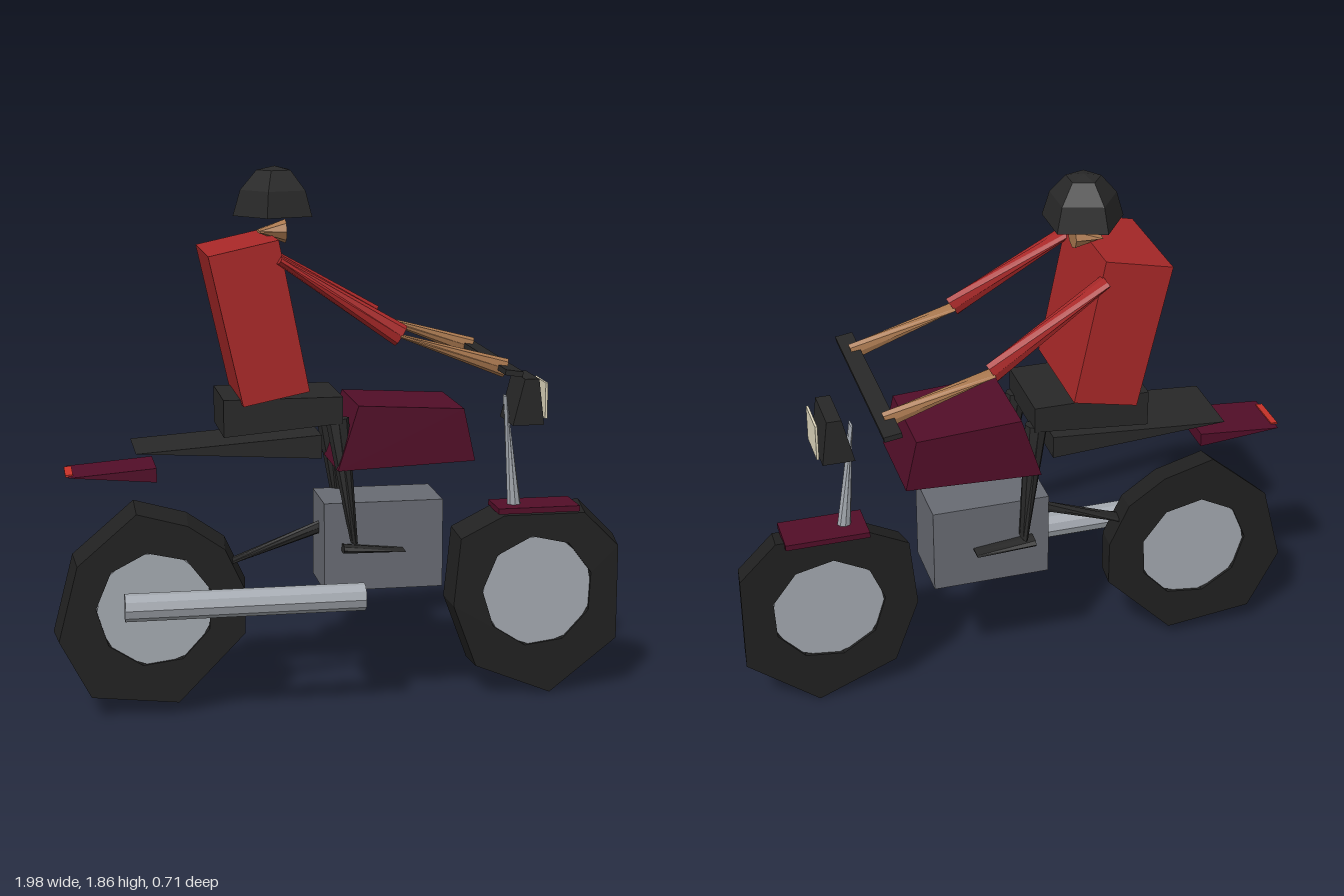
import * as THREE from 'three';

const mat = (name, color, double) => {
  const m = new THREE.MeshStandardMaterial({ color, side: double ? THREE.DoubleSide : THREE.FrontSide, flatShading: true });
  m.name = name;
  return m;
};

export function createModel() {
  const root = new THREE.Group();
  const black = mat('black', 0x282828, true);
  const rubber = mat('rubber', 0x212121);
  const red = mat('shirtRed', 0xa82828);
  const maroon = mat('maroon', 0x520e28);
  const steel = mat('steel', 0xa4a9b0);
  const engineGrey = mat('engineGrey', 0x686b73);
  const skin = mat('skin', 0xa9784f);
  const cream = mat('lensCream', 0xe2dac0);
  const lampRed = mat('tailLampRed', 0xc83228);

  const add = (name, geo, material, x = 0, y = 0, z = 0, parent = root) => {
    const m = new THREE.Mesh(geo, material);
    m.name = name;
    m.position.set(x, y, z);
    parent.add(m);
    return m;
  };
  const box = (name, material, x, y, z, w, h, d) => add(name, new THREE.BoxGeometry(w, h, d), material, x, y, z);

  // side outline pulled across z
  const prism = (name, material, pts, halfZ) => {
    const shape = new THREE.Shape(pts.map(p => new THREE.Vector2(...p)));
    const geo = new THREE.ExtrudeGeometry(shape, { depth: halfZ * 2, bevelEnabled: false });
    return add(name, geo, material, 0, 0, -halfZ);
  };

  // limb from a to b; each end has [half thickness in side view, half width in z]
  const limb = (name, material, a, b, endA, endB) => {
    const geo = new THREE.CylinderGeometry(1, 1, 1, 8, 1);
    const A = new THREE.Vector3(...a), B = new THREE.Vector3(...b);
    const d = B.clone().sub(A).setZ(0).normalize();
    const p = geo.attributes.position, c = new THREE.Vector3();
    for (let i = 0; i < p.count; i++) {
      const top = p.getY(i) > 0, [t, w] = top ? endB : endA;
      c.copy(top ? B : A);
      p.setXYZ(i, c.x + d.y * p.getX(i) * t, c.y - d.x * p.getX(i) * t, c.z + p.getZ(i) * w);
    }
    geo.computeVertexNormals();
    return add(name, geo, material);
  };

  // wheels: rough polygonal tyre around a plain disc
  const wheel = (name, cx, cy, outline) => {
    const g = new THREE.Group();
    g.name = name;
    g.position.set(cx, cy, 0);
    root.add(g);
    const shape = new THREE.Shape(outline.map(([x, y]) => new THREE.Vector2(x - cx, y - cy)));
    shape.holes.push(new THREE.Path().setFromPoints(Array.from({ length: 9 }, (_, i) => {
      const a = -i / 9 * Math.PI * 2 + 0.3;
      return new THREE.Vector2(Math.cos(a) * 0.2, Math.sin(a) * 0.2);
    })));
    const geo = new THREE.ExtrudeGeometry(shape, { depth: 0.11, bevelEnabled: false });
    const p = geo.attributes.position;
    for (let i = 0; i < p.count; i++) {
      // near face is a little smaller and lower than the far face
      if (p.getZ(i) > 0.05 && Math.hypot(p.getX(i), p.getY(i)) > 0.25)
        p.setXY(i, p.getX(i) * 0.96, p.getY(i) * 0.96 - 0.012);
    }
    geo.computeVertexNormals();
    add('tyre', geo, rubber, 0, 0, -0.055, g);
    add('wheelDisc', new THREE.CylinderGeometry(0.205, 0.205, 0.09, 9).rotateX(Math.PI / 2), steel, 0, 0, 0, g);
  };
  wheel('rearWheel', -0.66, 0.38, [[-0.72, 0.74], [-0.93, 0.56], [-1, 0.29], [-0.89, 0.08],
    [-0.58, 0.045], [-0.34, 0.29], [-0.34, 0.45], [-0.41, 0.6], [-0.54, 0.69]]);
  wheel('frontWheel', 0.68, 0.38, [[0.55, 0.68], [0.39, 0.6], [0.365, 0.35], [0.45, 0.12],
    [0.73, 0.005], [0.98, 0.2], [0.98, 0.55], [0.85, 0.68]]);

  // bike body
  box('engine', engineGrey, 0.115, 0.588, 0, 0.41, 0.305, 0.24);
  add('exhaust', new THREE.CylinderGeometry(0.047, 0.047, 0.81, 10).rotateZ(Math.PI / 2), steel, -0.365, 0.425, 0.17);
  prism('fuelTank', maroon, [[-0.05, 0.86], [0.42, 0.88], [0.38, 1.06], [0.02, 1.08]], 0.163);
  prism('seat', black, [[-0.72, 0.937], [-0.1, 0.9], [-0.1, 0.98]], 0.133);
  prism('tail', maroon, [[-0.94, 0.857], [-0.65, 0.832], [-0.65, 0.88]], 0.1);
  prism('tailLamp', lampRed, [[-0.95, 0.855], [-0.925, 0.853], [-0.925, 0.863], [-0.95, 0.86]], 0.07);
  limb('swingArm', black, [-0.42, 0.515, 0], [-0.08, 0.635, 0], [0.004, 0.04], [0.022, 0.012]);
  box('frontMudguard', maroon, 0.675, 0.675, -0.005, 0.29, 0.02, 0.15);
  limb('fork', steel, [0.602, 0.68, 0], [0.563, 1.07, 0], [0.024, 0.02], [0.004, 0.026]);
  box('handlebar', black, 0.5, 1.208, 0, 0.06, 0.018, 0.71).rotation.z = -0.15;

  // headlamp
  prism('headlampShell', black, [[0.57, 0.98], [0.68, 0.98], [0.66, 1.14], [0.61, 1.14]], 0.088);
  box('headlampLens', cream, 0.692, 1.06, -0.002, 0.008, 0.125, 0.145);

  // rider
  prism('torso', red, [[-0.37, 1.095], [-0.15, 1.14], [-0.25, 1.64], [-0.48, 1.59]], 0.197);
  prism('hips', black, [[-0.43, 0.985], [-0.03, 1.02], [-0.03, 1.11], [-0.43, 1.11]], 0.148);
  limb('neck', skin, [-0.29, 1.65, 0], [-0.2, 1.65, 0], [0.005, 0.05], [0.04, 0.045]);
  for (const s of [1, -1]) {
    const side = s > 0 ? 'left' : 'right';
    // the model faces +x, so its near arm and leg sit on +z
    const n = part => part + (s > 0 ? 'Near' : 'Far');
    limb(n('upperArm'), red, [-0.25, 1.575, 0.2 * s], [0.145, 1.325, 0.245 * s], [0.014, 0.04], [0.038, 0.022]);
    limb(n('forearm'), skin, [0.14, 1.325, 0.243 * s], [0.5, 1.207, 0.24 * s], [0.006, 0.034], [0.032, 0.018]);
    limb(n('lowerLeg'), black, [-0.045, 1.03, 0.115 * s], [0.008, 0.61, 0.142 * s], [0.04, 0.03], [0.012, 0.038]);
    limb(n('boot'), black, [-0.03, 0.588, 0.142 * s], [0.18, 0.576, 0.142 * s], [0.016, 0.035], [0.003, 0.035]);
  }

  // helmet: stacked five-sided rings, open below
  const profile = [[0.14, 0], [0.115, 0.085], [0.06, 0.15], [0, 0.163]].map(p => new THREE.Vector2(...p));
  const helmet = add('helmet', new THREE.LatheGeometry(profile, 5), black, -0.235, 1.703, 0);
  helmet.rotation.y = -Math.PI / 2;
  return root;
}
